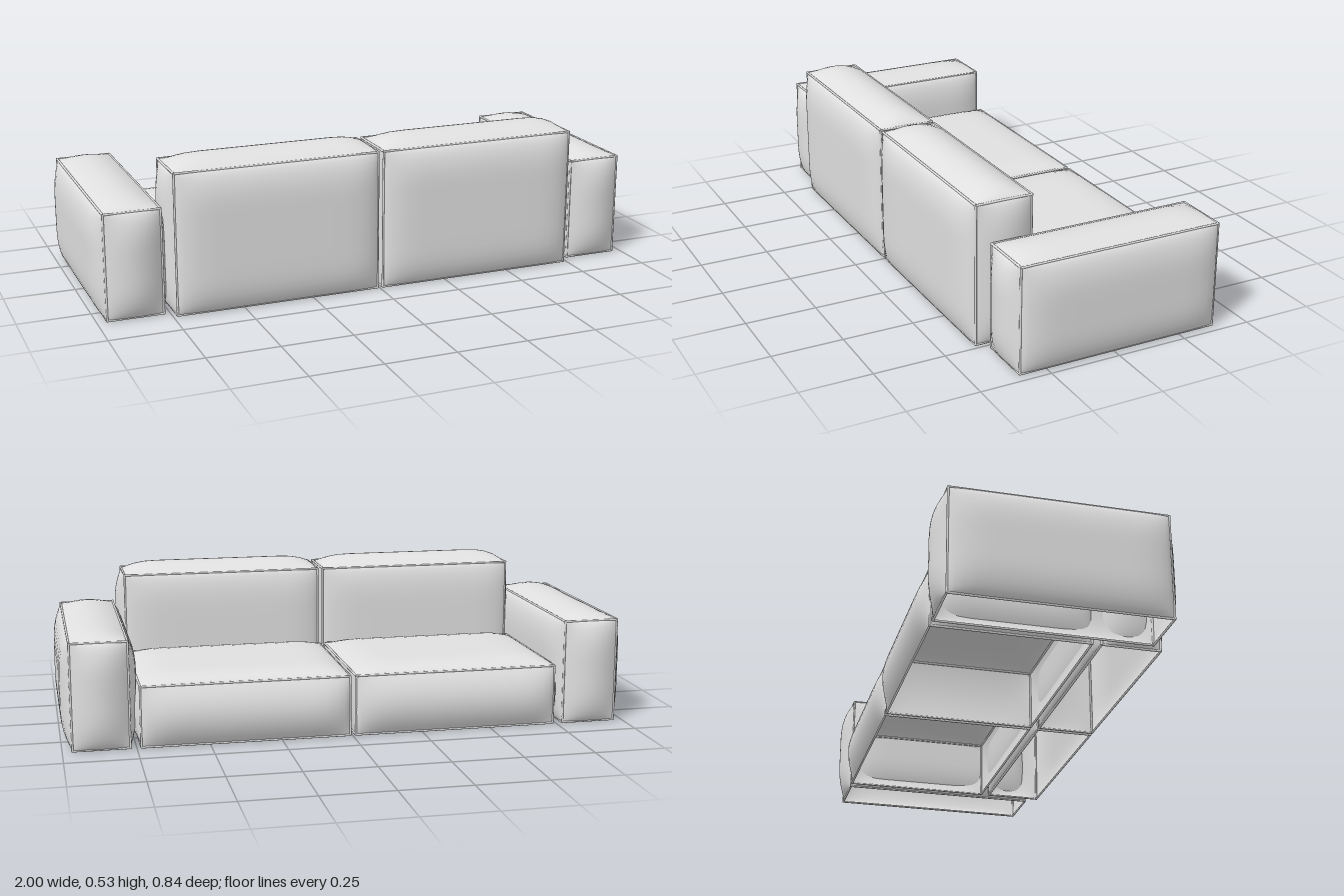
import * as THREE from 'three';
import { mergeGeometries } from 'three/addons/utils/BufferGeometryUtils.js';

const fabric = new THREE.MeshStandardMaterial({ color: 0xe0e0e0, side: THREE.DoubleSide });
fabric.name = 'light grey fabric';

// Rise from a seam to the plateau; p runs from -half to half.
// Narrow faces form a soft dome, wide faces rise steeply and then stay flat
function swell(p, half) {
  const ramp = Math.min(0.12, half);
  const k = Math.max(0, 1 - (half - Math.abs(p)) / ramp);
  return Math.pow(Math.max(0, 1 - k * k), half < 0.12 ? 1 : 0.6);
}

// Padded shell without a bottom: a box whose faces bulge out between straight seams.
// bulge lists the puff of the faces +x, -x, +y, -y, +z, -z
function paddedShell(size, bulge) {
  const geo = new THREE.BoxGeometry(1, 1, 1, 18, 18, 18);
  const pos = geo.attributes.position;
  const perFace = pos.count / 6;
  for (let i = 0; i < pos.count; i++) {
    const face = Math.floor(i / perFace);
    const axis = face >> 1;
    const sign = face % 2 ? -1 : 1;
    const p = [0, 1, 2].map(a => size[a] * 0.5 * Math.sin(Math.PI * pos.getComponent(i, a)));
    const [a, b] = [0, 1, 2].filter(n => n !== axis);
    p[axis] += sign * bulge[face] * swell(p[a], size[a] / 2) * swell(p[b], size[b] / 2);
    pos.setXYZ(i, ...p);
  }
  // Leave out the bottom face so the shell is open underneath
  const index = Array.from(geo.index.array);
  const bottom = geo.groups[3];
  index.splice(bottom.start, bottom.count);
  geo.setIndex(index);
  geo.clearGroups();
  geo.computeVertexNormals();
  return geo;
}

// Thin cord along all twelve seams
function pipingCord(size) {
  const r = 0.004;
  const cords = [];
  for (let axis = 0; axis < 3; axis++) {
    const [a, b] = [0, 1, 2].filter(n => n !== axis);
    for (const sa of [-1, 1]) for (const sb of [-1, 1]) {
      const cord = new THREE.CylinderGeometry(r, r, size[axis] + r, 8);
      if (axis === 0) cord.rotateZ(Math.PI / 2);
      if (axis === 2) cord.rotateX(Math.PI / 2);
      const at = [0, 0, 0];
      at[a] = sa * size[a] / 2;
      at[b] = sb * size[b] / 2;
      cords.push(cord.translate(...at));
    }
  }
  return mergeGeometries(cords);
}

// One upholstered block between two corners, given for the +x side and mirrored by side
function block(name, side, min, max, bulge) {
  const size = max.map((v, i) => v - min[i]);
  const puff = side > 0 ? bulge : [bulge[1], bulge[0], ...bulge.slice(2)];
  const group = new THREE.Group();
  group.name = name;
  const shell = new THREE.Mesh(paddedShell(size, puff), fabric);
  shell.name = name + 'Padding';
  const cord = new THREE.Mesh(pipingCord(size), fabric);
  cord.name = name + 'Piping';
  group.add(shell, cord);
  group.position.set(side * (min[0] + max[0]) / 2, (min[1] + max[1]) / 2, (min[2] + max[2]) / 2);
  return group;
}

export function createModel() {
  const sofa = new THREE.Group();
  sofa.name = 'sofa';
  for (const side of [1, -1]) {
    const label = side > 0 ? 'left' : 'right';
    // Backrest
    sofa.add(block(label + 'Backrest', side, [0.01, 0.004, 0.182], [0.735, 0.497, 0.383],
      [0.032, 0.01, 0.036, 0, 0.036, 0.026]));
    // Seat
    sofa.add(block(label + 'Seat', side, [0.01, 0.004, -0.383], [0.735, 0.215, 0.15],
      [0.03, 0.01, 0.03, 0, 0.014, 0.036]));
    // Armrest
    sofa.add(block(label + 'Armrest', side, [0.772, 0.004, -0.381], [0.966, 0.373, 0.345],
      [0.034, 0.034, 0.026, 0, 0.036, 0.036]));
  }
  return sofa;
}
